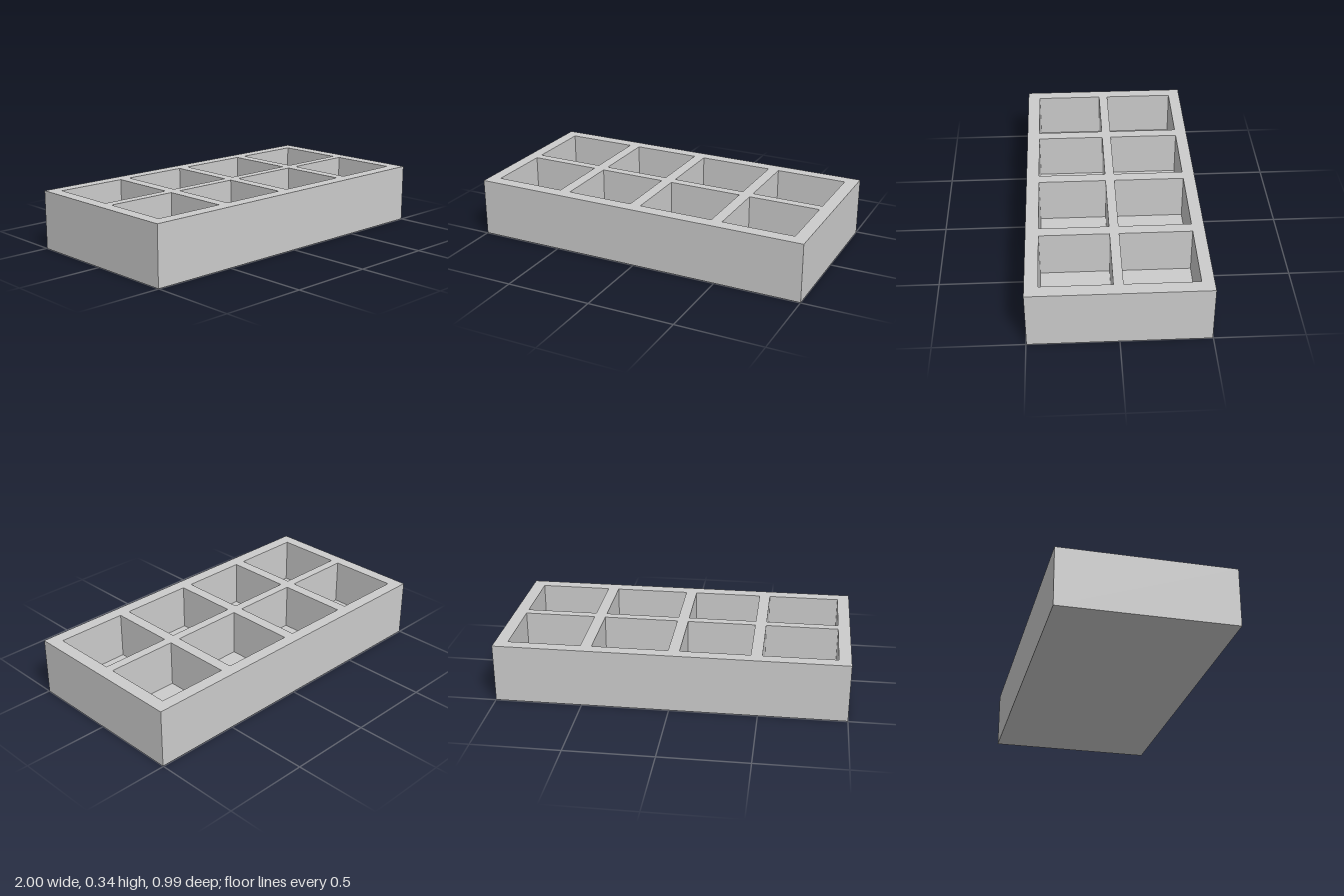
import * as THREE from 'three';

const HEIGHT = 0.34, FLOOR = 0.07, HALF_X = 1, HALF_Z = 0.497;
const COLUMNS = [[-0.93, -0.513], [-0.449, -0.053], [0.011, 0.445], [0.509, 0.926]];
const ROWS = [[-0.428, -0.021], [0.032, 0.423]];

// Box without its top face; inward turns the faces to the inside
function openBox(x0, x1, y0, y1, z0, z1, inward = false) {
  const geometry = new THREE.BoxGeometry(x1 - x0, y1 - y0, z1 - z0);
  const index = Array.from(geometry.index.array);
  index.splice(12, 6); // the top face
  geometry.setIndex(inward ? index.reverse() : index);
  geometry.clearGroups();
  geometry.computeVertexNormals();
  return geometry.translate((x0 + x1) / 2, (y0 + y1) / 2, (z0 + z1) / 2);
}

// Traces a rectangle in the plan, with plan y = -z
function rectangle(path, x0, x1, z0, z1) {
  path.moveTo(x0, -z1).lineTo(x1, -z1).lineTo(x1, -z0).lineTo(x0, -z0).closePath();
  return path;
}

export function createModel() {
  const group = new THREE.Group();
  group.name = 'compartmentTray';
  const material = new THREE.MeshStandardMaterial({ color: 0xcccccc });
  const add = (name, geometry) => {
    const mesh = new THREE.Mesh(geometry, material);
    mesh.name = name;
    group.add(mesh);
  };

  // Outer sides and underside
  add('outerShell', openBox(-HALF_X, HALF_X, 0, HEIGHT, -HALF_Z, HALF_Z));

  // Pockets, and the top rim with dividers pierced by them
  const rim = rectangle(new THREE.Shape(), -HALF_X, HALF_X, -HALF_Z, HALF_Z);
  ROWS.forEach(([z0, z1], r) => COLUMNS.forEach(([x0, x1], c) => {
    rim.holes.push(rectangle(new THREE.Path(), x0, x1, z0, z1));
    add(`pocketRow${r + 1}Column${c + 1}`, openBox(x0, x1, FLOOR, HEIGHT, z0, z1, true));
  }));
  add('topRim', new THREE.ShapeGeometry(rim).rotateX(-Math.PI / 2).translate(0, HEIGHT, 0));

  return group;
}
